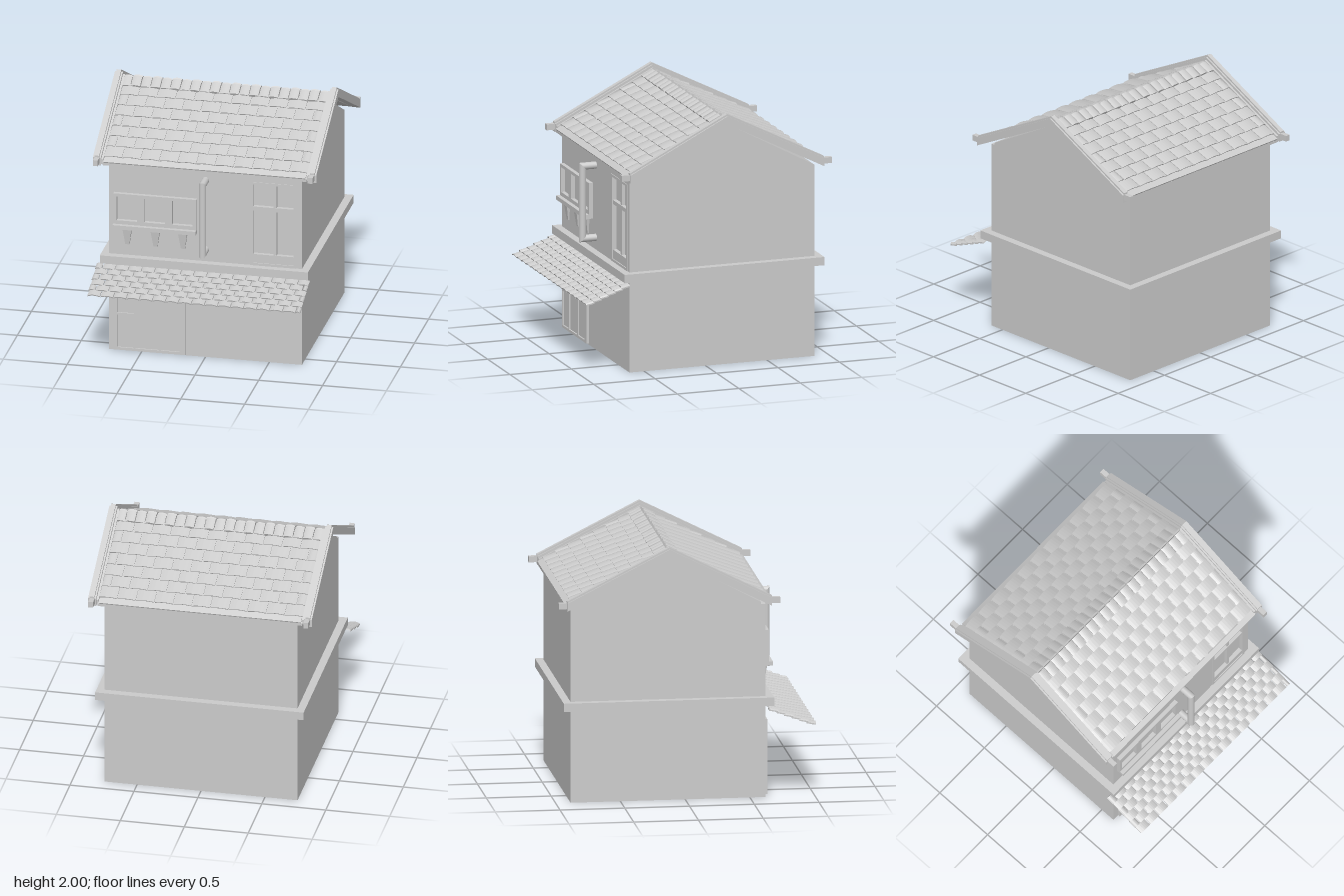
import * as THREE from 'three';
import { mergeGeometries } from 'three/addons/utils/BufferGeometryUtils.js';

const flat = new THREE.MeshStandardMaterial({ color: 0xcccccc, flatShading: true });
const smooth = new THREE.MeshStandardMaterial({ color: 0xcccccc });
const RIDGE_Z = -0.135, SLOPE = Math.atan(0.494);

function add(parent, name, geometry, material = flat) {
  const mesh = new THREE.Mesh(geometry, material);
  mesh.name = name;
  parent.add(mesh);
  return mesh;
}

// Box given by its lower and upper limits
function box(parent, name, x0, x1, y0, y1, z0, z1) {
  const g = new THREE.BoxGeometry(x1 - x0, y1 - y0, z1 - z0);
  g.translate((x0 + x1) / 2, (y0 + y1) / 2, (z0 + z1) / 2);
  return add(parent, name, g);
}

// Outline of [z, y] points extruded from x0 to x1
function sideProfile(parent, name, points, x0, x1) {
  const shape = new THREE.Shape(points.map(p => new THREE.Vector2(...p)));
  const g = new THREE.ExtrudeGeometry(shape, { depth: x1 - x0, bevelEnabled: false });
  g.rotateY(-Math.PI / 2).translate(x1, 0, 0);
  return add(parent, name, g);
}

function rectPath(Type, x0, x1, y0, y1) {
  return new Type([[x0, y0], [x1, y0], [x1, y1], [x0, y1]].map(p => new THREE.Vector2(...p)));
}

// Front-facing plate with rectangular openings [x0, x1, y0, y1]
function plate(parent, name, outer, holes, z0, z1) {
  const shape = rectPath(THREE.Shape, ...outer);
  shape.holes = holes.map(h => rectPath(THREE.Path, ...h));
  const g = new THREE.ExtrudeGeometry(shape, { depth: z1 - z0, bevelEnabled: false });
  return add(parent, name, g.translate(0, 0, z0));
}

// Arched tile lifted at its lower edge
function tile(x0, x1, z0, length, thick, arch, lift) {
  const w = x1 - x0;
  const g = new THREE.BoxGeometry(w, thick, length, 6, 1, 1);
  const p = g.attributes.position;
  for (let i = 0; i < p.count; i++) {
    const u = 2 * p.getX(i) / w;
    const v = p.getZ(i) / length + 0.5;
    p.setY(i, p.getY(i) + arch * (1 - u * u) + lift * v);
  }
  return g.translate((x0 + x1) / 2, thick / 2, z0 + length / 2);
}

// Staggered courses running down local +z
function tileField(parent, name, o) {
  const parts = [];
  for (let r = 0; r < o.rows; r++) {
    for (let c = -1; c <= o.cols; c++) {
      const start = o.left + (c + (r % 2) / 2) * o.width;
      const x0 = Math.max(start, o.min), x1 = Math.min(start + o.width, o.max);
      if (x1 - x0 < o.width * 0.3) continue;
      parts.push(tile(x0 + 0.003, x1 - 0.003, o.start + r * o.step, o.step * 1.1, o.thick, o.arch, o.lift));
    }
  }
  return add(parent, name, mergeGeometries(parts));
}

function buildRoof(house) {
  const roof = new THREE.Group();
  roof.name = 'roof';
  house.add(roof);
  sideProfile(roof, 'roofBoard', [
    [RIDGE_Z, 1.937], [RIDGE_Z - 0.79, 1.546], [RIDGE_Z - 0.79, 1.525],
    [RIDGE_Z, 1.917], [RIDGE_Z + 0.79, 1.525], [RIDGE_Z + 0.79, 1.546],
  ], -0.8, 0.8);

  for (const back of [false, true]) {
    const side = new THREE.Group();
    side.name = back ? 'backSlope' : 'frontSlope';
    side.position.set(0, 1.934, RIDGE_Z);
    side.rotation.set(SLOPE, back ? Math.PI : 0, 0, 'YXZ');
    roof.add(side);
    tileField(side, 'roofTiles', {
      rows: 7, cols: 11, width: 1.6 / 11, left: -0.8, min: -0.8, max: 0.8,
      start: 0.07, step: 0.107, thick: 0.008, arch: 0.009, lift: 0.014,
    });
    // Ridge caps overlap along the ridge
    const caps = [];
    for (let i = 0; i < 21; i++) {
      const x = -0.81 + i * 1.62 / 21;
      caps.push(tile(x + 0.003, x + 0.074, -0.004, 0.1, 0.022 + (i % 2) * 0.005, 0.007, 0));
    }
    add(side, 'ridgeTiles', mergeGeometries(caps));
    box(side, 'eaveBoard', -0.79, 0.79, -0.012, 0.012, 0.835, 0.88);
  }

  // Gable boards with inner trim and end blocks
  const gable = (top, bottom, run) => [
    [RIDGE_Z, top], [RIDGE_Z - run, top - run * 0.506], [RIDGE_Z - run, bottom - run * 0.506],
    [RIDGE_Z, bottom], [RIDGE_Z + run, bottom - run * 0.506], [RIDGE_Z + run, top - run * 0.506],
  ];
  for (const s of [-1, 1]) {
    const span = (a, b) => s > 0 ? [a, b] : [-b, -a];
    sideProfile(roof, 'gableBoard', gable(1.985, 1.922, 0.79), ...span(0.812, 0.875));
    sideProfile(roof, 'gableRidge', gable(2.0, 1.98, 0.79), ...span(0.825, 0.862));
    sideProfile(roof, 'gableTrim', gable(1.965, 1.925, 0.78), ...span(0.795, 0.814));
    for (const e of [-1, 1]) {
      const z = RIDGE_Z + e * 0.815;
      box(roof, 'gableEndBlock', ...span(0.822, 0.86), 1.54, 1.587, z - 0.04, z + 0.04);
    }
  }
}

function buildDisplayWindow(house) {
  const g = new THREE.Group();
  g.name = 'displayWindow';
  house.add(g);
  const panes = [[-0.69, -0.53], [-0.472, -0.312], [-0.255, -0.095]].map(p => [...p, 1.08, 1.275]);
  plate(g, 'windowFrame', [-0.715, -0.065, 1.02, 1.3], panes, 0.61, 0.652);
  box(g, 'windowShelf', -0.715, -0.065, 1.018, 1.05, 0.61, 0.685);
  // Tapered brackets
  for (const x of [-0.61, -0.39, -0.175]) {
    const bracket = box(g, 'bracket', -0.036, 0.036, 0.88, 1.018, 0.6, 0.65);
    const p = bracket.geometry.attributes.position;
    for (let i = 0; i < p.count; i++) {
      if (p.getY(i) > 0.95) continue;
      p.setX(i, p.getX(i) * 0.45);
      if (p.getZ(i) > 0.62) p.setZ(i, 0.63);
    }
    bracket.position.x = x;
  }
}

// Wall pipe with mitred corners
function buildPipe(house) {
  const g = new THREE.Group();
  g.name = 'pipe';
  house.add(g);
  const r = 0.028, z = 0.728, low = 0.886, high = 1.457;
  const upright = new THREE.CylinderGeometry(r, r, 1, 16, 1, true);
  const p = upright.attributes.position;
  for (let i = 0; i < p.count; i++) {
    const d = p.getZ(i);
    p.setXYZ(i, p.getX(i), p.getY(i) > 0 ? high + d : low - d, z + d);
  }
  add(g, 'uprightPipe', upright, smooth);
  for (const [y, s] of [[low, -1], [high, 1]]) {
    const arm = new THREE.CylinderGeometry(r, r, 1, 16, 1, true).rotateX(Math.PI / 2);
    const q = arm.attributes.position;
    for (let i = 0; i < q.count; i++) {
      const d = q.getY(i);
      q.setXYZ(i, q.getX(i), y + d, q.getZ(i) > 0 ? z + s * d : 0.6);
    }
    add(g, 'pipeArm', arm, smooth);
  }
}

export function createModel() {
  const house = new THREE.Group();
  house.name = 'house';

  // Walls: solid core plus front wall with a window recess
  sideProfile(house, 'walls', [
    [-0.885, 0], [0.585, 0], [0.585, 1.529], [RIDGE_Z, 1.915], [-0.885, 1.51],
  ], -0.755, 0.755);
  plate(house, 'frontWall', [-0.755, 0.755, 0, 1.512], [[0.37, 0.695, 0.8, 1.46]], 0.585, 0.62);
  box(house, 'floorBand', -0.815, 0.815, 0.725, 0.79, -0.945, 0.68);

  // Tall window
  plate(house, 'tallWindowFrame', [0.355, 0.71, 0.79, 1.475], [[0.375, 0.69, 0.81, 1.455]], 0.59, 0.625);
  box(house, 'windowPost', 0.53, 0.555, 0.88, 1.455, 0.58, 0.61);
  box(house, 'windowRail', 0.375, 0.69, 1.24, 1.272, 0.58, 0.617);
  box(house, 'windowSill', 0.375, 0.69, 0.81, 0.88, 0.58, 0.617);

  // Sliding door
  plate(house, 'doorFrame', [-0.705, -0.155, 0.01, 0.6],
    [[-0.685, -0.56, 0.03, 0.3], [-0.685, -0.56, 0.315, 0.55], [-0.545, -0.36, 0.03, 0.55], [-0.345, -0.2, 0.03, 0.55]],
    0.61, 0.641);
  box(house, 'doorPanel', -0.7, -0.16, 0.015, 0.595, 0.6, 0.63);

  buildDisplayWindow(house);
  buildPipe(house);

  // Tiled awning over the door
  const awning = new THREE.Group();
  awning.name = 'awning';
  awning.position.set(0, 0.695, 0.635);
  awning.rotation.x = 0.355;
  house.add(awning);
  tileField(awning, 'awningTiles', {
    rows: 6, cols: 15, width: 0.102, left: -0.795, min: -0.85, max: 0.825,
    start: 0, step: 0.062, thick: 0.01, arch: 0.012, lift: 0.01,
  });

  buildRoof(house);
  return house;
}
